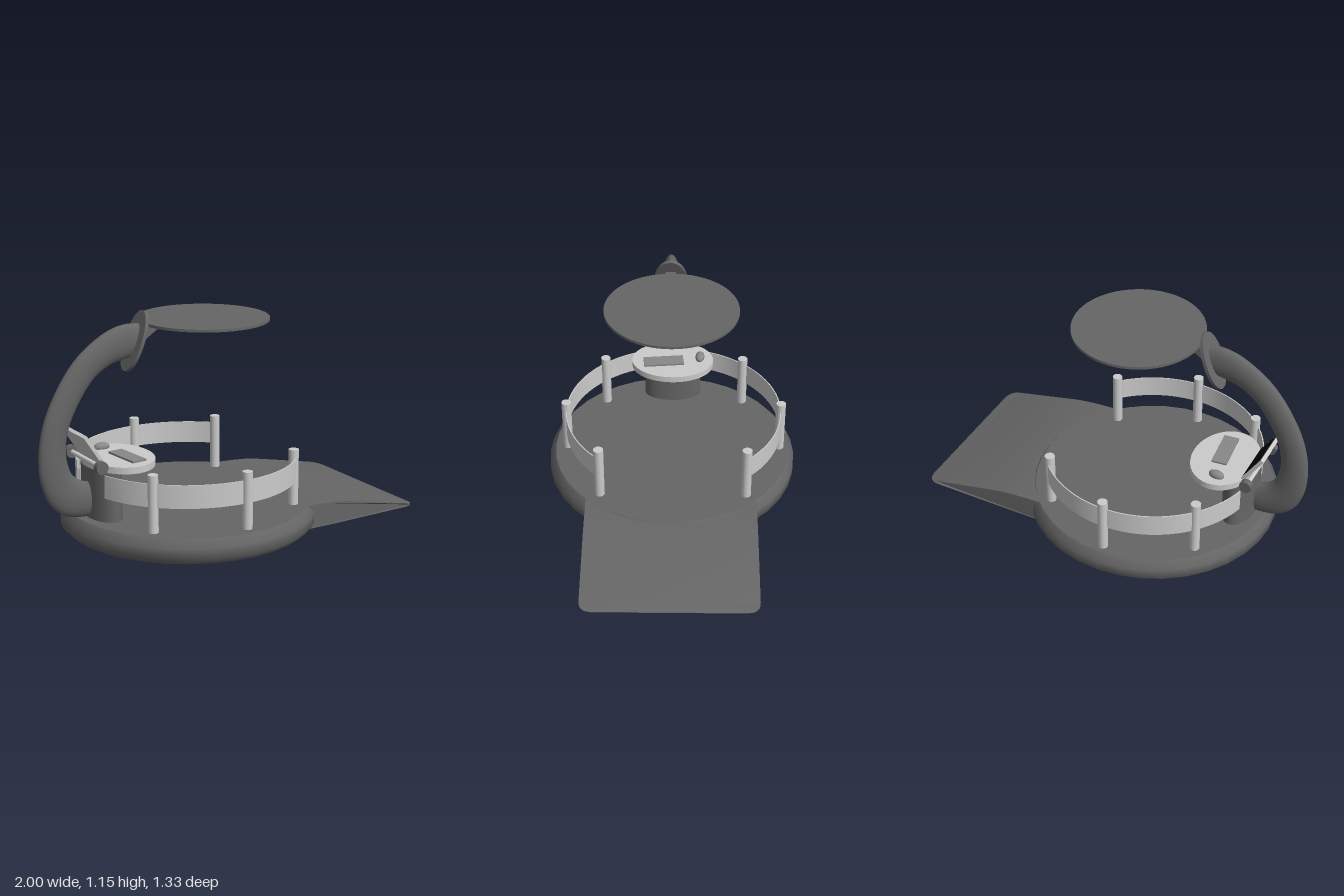
import * as THREE from 'three';
import { toCreasedNormals } from 'three/addons/utils/BufferGeometryUtils.js';

const paint = (color, side = THREE.FrontSide) => new THREE.MeshStandardMaterial({ color, side });
const dark = paint(0x666666);
const light = paint(0xcccccc);
const lightBoth = paint(0xcccccc, THREE.DoubleSide);
const mid = paint(0x888888);
const black = paint(0x050505);

function add(parent, name, geometry, material, x = 0, y = 0, z = 0) {
  const mesh = new THREE.Mesh(geometry, material);
  mesh.name = name;
  mesh.position.set(x, y, z);
  parent.add(mesh);
  return mesh;
}

// Flat disc with separate radii along x and z
const ellipse = (rx, rz, h, n = 48) => new THREE.CylinderGeometry(1, 1, h, n).scale(rx, 1, rz);

// Side outline in x-y, extruded across z and centred
function sideExtrude(points, width) {
  const shape = new THREE.Shape(points.map(p => new THREE.Vector2(...p)));
  return new THREE.ExtrudeGeometry(shape, { depth: width, bevelEnabled: false }).translate(0, 0, -width / 2);
}

// Oval-section arm lofted between its outer and inner side curves
function armGeometry(halfWidth) {
  const curve = pts => new THREE.CatmullRomCurve3(pts.map(([x, y]) => new THREE.Vector3(x, y, 0)));
  const outer = curve([[-0.7, 0.14], [-0.79, 0.14], [-0.87, 0.16], [-0.94, 0.22], [-0.985, 0.32], [-1, 0.45],
    [-0.975, 0.62], [-0.9, 0.79], [-0.78, 0.95], [-0.62, 1.06], [-0.52, 1.088], [-0.435, 1.085]]);
  const inner = curve([[-0.7, 0.32], [-0.745, 0.32], [-0.79, 0.337], [-0.825, 0.37], [-0.845, 0.42], [-0.855, 0.5],
    [-0.835, 0.61], [-0.775, 0.73], [-0.69, 0.84], [-0.6, 0.895], [-0.55, 0.908], [-0.497, 0.92]]);
  const rows = 56, sides = 24, pos = [], index = [];
  for (let i = 0; i <= rows; i++) {
    const a = outer.getPoint(i / rows), b = inner.getPoint(i / rows);
    const c = a.clone().add(b).multiplyScalar(0.5), r = a.clone().sub(c);
    for (let j = 0; j < sides; j++) {
      const t = j / sides * Math.PI * 2;
      pos.push(c.x + r.x * Math.cos(t), c.y + r.y * Math.cos(t), halfWidth * Math.sin(t));
      if (i === rows) continue;
      const k = i * sides + j, l = i * sides + (j + 1) % sides;
      index.push(k, l, k + sides, l, l + sides, k + sides);
    }
  }
  const g = new THREE.BufferGeometry();
  g.setAttribute('position', new THREE.Float32BufferAttribute(pos, 3));
  g.setIndex(index);
  g.computeVertexNormals();
  return g;
}

export function createModel() {
  const model = new THREE.Group();
  model.name = 'railedWorkstation';
  const cx = -0.156;

  // Round platform with chamfered rim
  const rim = [[0, 0], [0.628, 0], [0.664, 0.034], [0.664, 0.09], [0.632, 0.13], [0, 0.13]];
  const base = new THREE.LatheGeometry(rim.map(p => new THREE.Vector2(...p)), 36);
  add(model, 'platform', toCreasedNormals(base, 0.85), dark, cx);

  // Entry ramp: tapered side outline, outer corners rounded by pulling z inward
  const ramp = sideExtrude([[0.2, 0.002], [0.48, 0.002], [0.94, 0.009], [0.96, 0.009], [0.98, 0.01], [0.992, 0.01],
    [1, 0.01], [1, 0.013], [0.992, 0.016], [0.98, 0.019], [0.96, 0.024], [0.94, 0.028],
    [0.6, 0.1], [0.54, 0.112], [0.48, 0.12], [0.4, 0.126], [0.32, 0.1295], [0.2, 0.1295]], 0.89);
  const rp = ramp.attributes.position;
  for (let i = 0; i < rp.count; i++) {
    const d = Math.max(0, rp.getX(i) - 0.94);
    const inset = 0.06 - Math.sqrt(Math.max(0, 0.06 ** 2 - d * d));
    rp.setZ(i, Math.sign(rp.getZ(i)) * (0.445 - inset));
  }
  add(model, 'entryRamp', toCreasedNormals(ramp, 0.5), dark);

  // Two curved rail panels, each carried by three posts
  const rails = new THREE.Group();
  rails.name = 'railings';
  rails.position.set(cx, 0, -0.009);
  model.add(rails);
  const R = 0.573;
  for (const s of [-1, 1]) {
    const plan = [];
    for (let i = 0; i <= 40; i++) {
      const a = THREE.MathUtils.degToRad(43 + (165 - 43) * i / 40);
      plan.push([Math.cos(a), Math.sin(a) * s]);
    }
    const outline = [...plan.map(([c, n]) => [c * (R + 0.003), n * (R + 0.003)]),
      ...plan.reverse().map(([c, n]) => [c * (R - 0.003), n * (R - 0.003)])];
    const band = new THREE.ExtrudeGeometry(new THREE.Shape(outline.map(p => new THREE.Vector2(...p))),
      { depth: 0.118, bevelEnabled: false }).rotateX(-Math.PI / 2);
    add(rails, 'railPanel', toCreasedNormals(band, 0.5), lightBoth, 0, 0.26);
    for (const [x, z] of [[-0.415, 0.382], [0.003, 0.574], [0.407, 0.382]]) {
      add(rails, 'railPost', new THREE.CylinderGeometry(0.026, 0.026, 0.292, 24), light, x, 0.276, z * s);
    }
  }

  // Oval pedestal under the desk
  add(model, 'pedestal', ellipse(0.083, 0.156, 0.262), dark, -0.657, 0.261);

  // Oval desk with keyboard and mouse
  add(model, 'desk', ellipse(0.172, 0.225, 0.034), light, -0.56, 0.405);
  const keyboard = add(model, 'keyboard', new THREE.BoxGeometry(0.08, 0.01, 0.22), mid, -0.536, 0.427, 0.05);
  keyboard.rotation.y = 0.1;
  const mouse = add(model, 'mouse', new THREE.SphereGeometry(1, 24, 16), mid, -0.575, 0.43, -0.152);
  mouse.scale.set(0.042, 0.024, 0.025);
  mouse.rotation.y = -0.1;

  // Tilted monitor on a hinge with a drum at each end
  const monitor = new THREE.Group();
  monitor.name = 'monitor';
  monitor.position.set(-0.754, 0.506, 0);
  monitor.rotation.z = 0.573;
  model.add(monitor);
  add(monitor, 'monitorFrame', new THREE.BoxGeometry(0.018, 0.182, 0.256), light);
  add(monitor, 'screen', new THREE.BoxGeometry(0.004, 0.15, 0.226), black, 0.009);
  const along = (r, l) => new THREE.CylinderGeometry(r, r, l, 24).rotateX(Math.PI / 2);
  add(model, 'hingeRod', along(0.012, 0.3), light, -0.741, 0.43);
  for (const s of [-1, 1]) add(model, 'hingeDrum', along(0.032, 0.034), dark, -0.741, 0.43, s * 0.165);

  // Curved arm, oval end plate, bracket and round canopy
  add(model, 'arm', armGeometry(0.038), dark, 0, 0, 0.009);
  const plate = add(model, 'endPlate', ellipse(0.157, 0.086, 0.018), dark, -0.463, 0.998, 0.009);
  plate.rotation.z = -1.93;
  add(model, 'canopyBracket', sideExtrude([[-0.47, 0.97], [-0.32, 1.067], [-0.44, 1.07]], 0.054), dark, 0, 0, 0.009);
  add(model, 'canopy', ellipse(0.337, 0.342, 0.014, 64), dark, -0.06, 1.072);

  return model;
}
